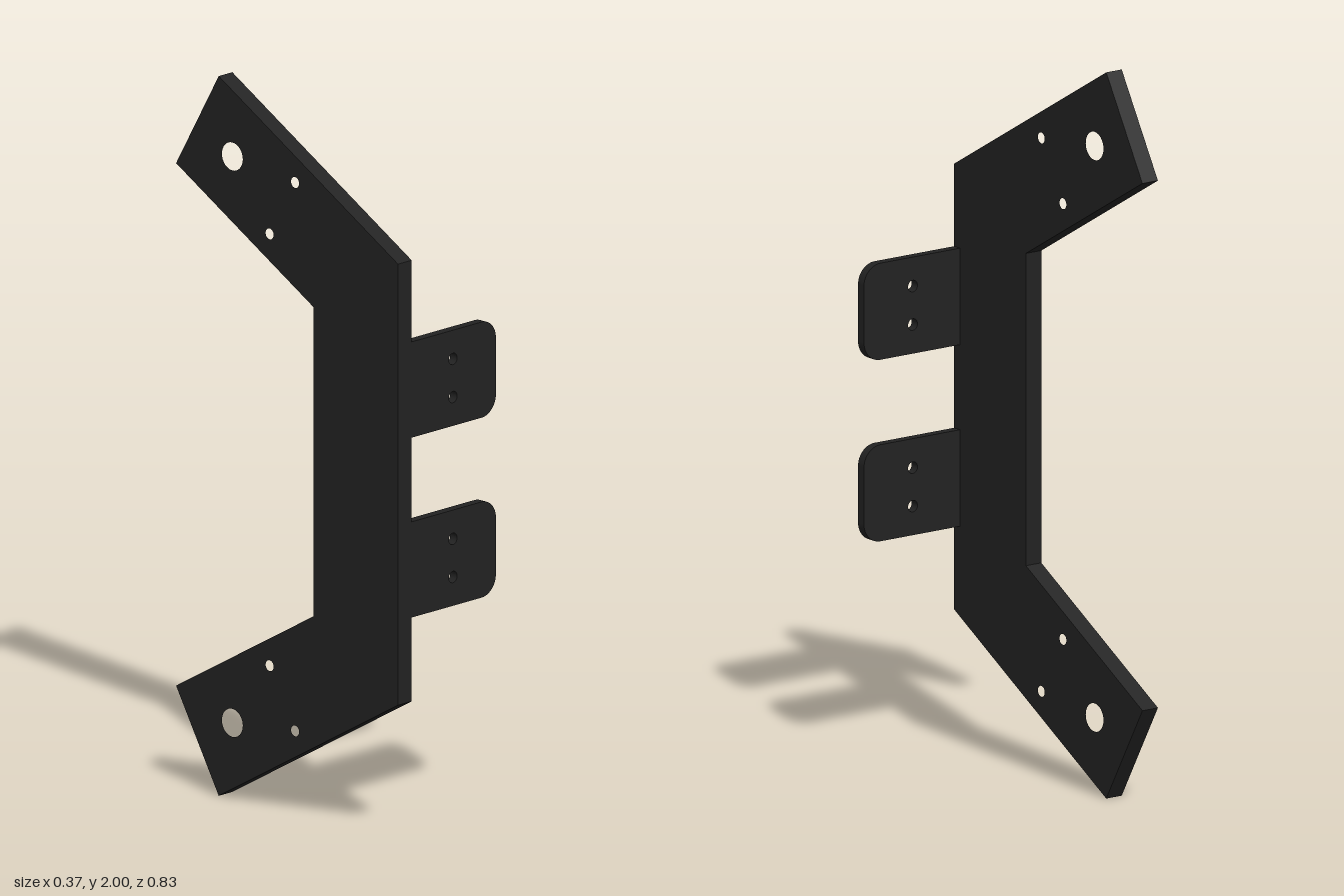
import * as THREE from 'three';

const material = new THREE.MeshStandardMaterial({ color: 0x222222 });

function hole(shape, x, y, r) {
  shape.holes.push(new THREE.Path().absarc(x, y, r, 0, Math.PI * 2, true));
}

function extrude(shape, depth) {
  return new THREE.ExtrudeGeometry(shape, { depth, bevelEnabled: false, curveSegments: 16 });
}

// C-shaped side plate, drawn with u = -z and mirrored about y = 1
function sidePlate() {
  const upper = [[-0.414, 1.613], [0.255, 2], [0.414, 1.726], [-0.098, 1.43]];
  const lower = upper.map(([u, y]) => [u, 2 - y]).reverse();
  const shape = new THREE.Shape([...upper, ...lower].map(([u, y]) => new THREE.Vector2(u, y)));
  for (const [u, y, r] of [[0.204, 1.787, 0.039], [-0.03, 1.762, 0.015], [0.065, 1.6, 0.015]]) {
    hole(shape, u, y, r);
    hole(shape, u, 2 - y, r);
  }
  const mesh = new THREE.Mesh(extrude(shape, 0.052).rotateY(Math.PI / 2), material);
  mesh.position.x = -0.187;
  mesh.name = 'sidePlate';
  return mesh;
}

// Mounting tab with two rounded outer corners and two screw holes
function mountingTab(y, name) {
  const x0 = -0.135, x1 = 0.187, h = 0.133, r = 0.055;
  const shape = new THREE.Shape();
  shape.moveTo(x0, -h);
  shape.lineTo(x1 - r, -h);
  shape.absarc(x1 - r, -h + r, r, -Math.PI / 2, 0, false);
  shape.absarc(x1 - r, h - r, r, 0, Math.PI / 2, false);
  shape.lineTo(x0, h);
  shape.closePath();
  for (const dy of [-0.053, 0.053]) hole(shape, 0.023, dy, 0.016);
  const mesh = new THREE.Mesh(extrude(shape, 0.026), material);
  mesh.position.set(0, y, 0.388);
  mesh.name = name;
  return mesh;
}

export function createModel() {
  const model = new THREE.Group();
  model.name = 'bracket';
  model.add(sidePlate(), mountingTab(1.253, 'upperTab'), mountingTab(0.753, 'lowerTab'));
  return model;
}
